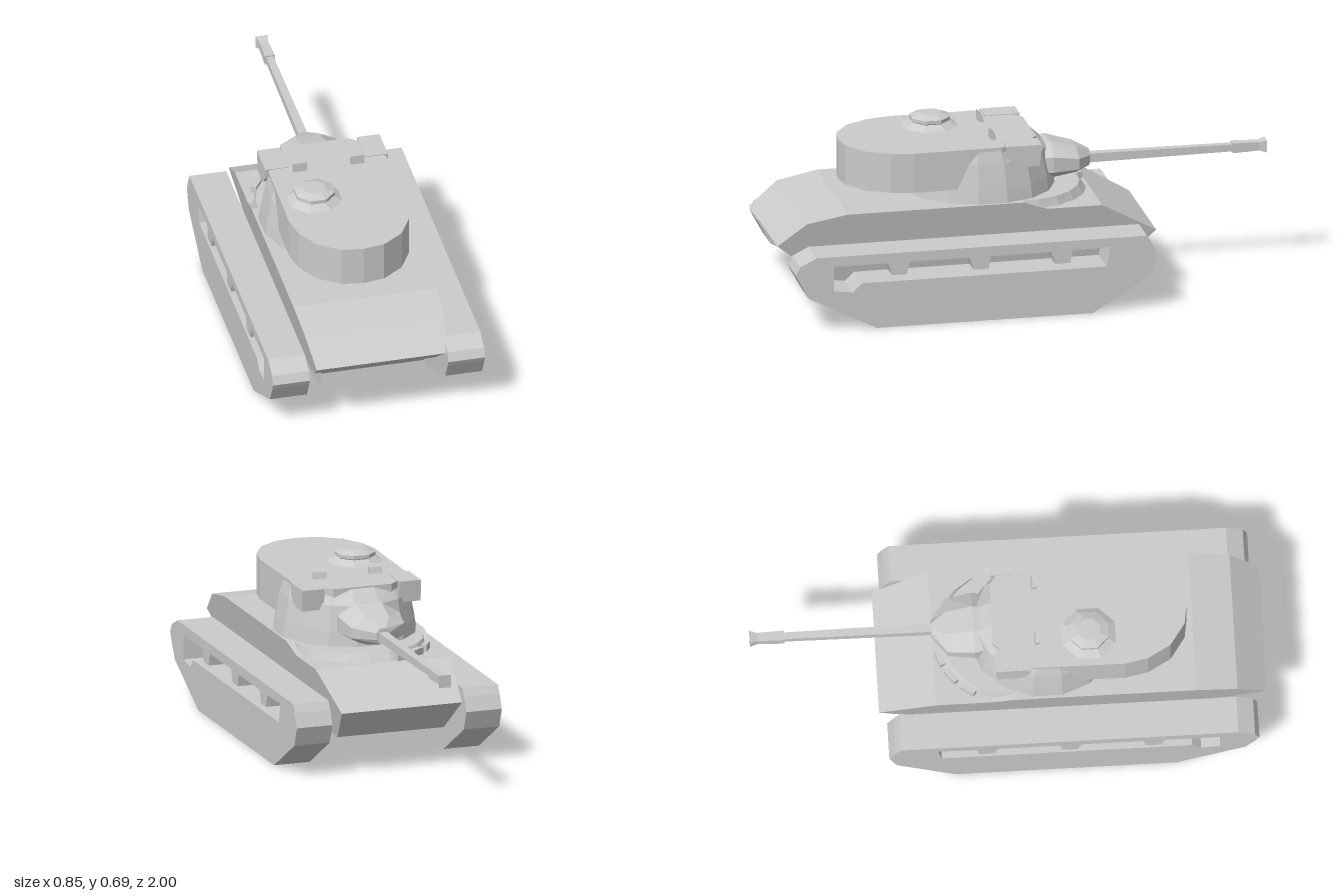
import * as THREE from 'three';

const mat = new THREE.MeshStandardMaterial({ color: 0xcccccc, flatShading: true, side: THREE.DoubleSide });

const toShape = (pts) => new THREE.Shape(pts.map(([a, b]) => new THREE.Vector2(a, b)));

// Side profile given as [z, y], extruded across x and centred on x = 0
function sideExtrude(pts, width, hole) {
  const shape = toShape(pts);
  if (hole) shape.holes.push(toShape(hole));
  const geo = new THREE.ExtrudeGeometry(shape, { depth: width, bevelEnabled: false });
  return geo.translate(0, 0, -width / 2).rotateY(-Math.PI / 2);
}

// Rings stacked from top to bottom: [y, radiusX, radiusZ, centreZ]
function loft(rows, sides) {
  const n = rows.length - 1;
  const geo = new THREE.CylinderGeometry(1, 1, 1, sides, n, false, Math.PI / sides);
  const p = geo.attributes.position;
  const grow = 1 / Math.cos(Math.PI / sides);
  for (let i = 0; i < p.count; i++) {
    const [y, rx, rz, cz] = rows[Math.round((0.5 - p.getY(i)) * n)];
    p.setXYZ(i, p.getX(i) * rx * grow, y, p.getZ(i) * rz * grow + cz);
  }
  return geo;
}

export function createModel() {
  const model = new THREE.Group();
  const add = (name, geo, x = 0, y = 0, z = 0) => {
    const mesh = new THREE.Mesh(geo, mat);
    mesh.name = name;
    mesh.position.set(x, y, z);
    model.add(mesh);
    return mesh;
  };
  const box = (name, w, h, d, x, y, z) => add(name, new THREE.BoxGeometry(w, h, d), x, y, z);

  // Hull: side profile whose width grows with height
  const hull = sideExtrude([
    [1, 0.305], [0.885, 0.395], [0.725, 0.425], [0.02, 0.425], [-0.07, 0.39], [-0.29, 0.39],
    [-0.51, 0.265], [-0.38, 0.135], [0.78, 0.135], [0.9, 0.225],
  ], 2);
  const hp = hull.attributes.position;
  for (let i = 0; i < hp.count; i++) {
    hp.setX(i, Math.sign(hp.getX(i)) * (0.22 + 0.224 * (hp.getY(i) - 0.135)));
  }
  add('hull', hull);

  // Raised collar under the turret, with vision blocks along its front
  add('turretCollar', loft([[0.424, 0.255, 0.25, 0], [0.385, 0.265, 0.28, 0]], 20));
  for (const angle of [0.98, 0.66, 0.34]) {
    const block = box('visionBlock', 0.06, 0.03, 0.022, -0.27 * Math.sin(angle), 0.402, -0.01 - 0.27 * Math.cos(angle));
    block.rotation.y = angle;
  }

  // Tracks with a side opening and return-roller brackets hanging into it
  const trackProfile = [
    [0.88, 0.302], [0.945, 0.27], [0.962, 0.235], [0.95, 0.21], [0.91, 0.137], [0.64, 0], [-0.22, 0],
    [-0.45, 0.137], [-0.48, 0.215], [-0.455, 0.27], [-0.435, 0.302],
  ];
  const opening = [[0.81, 0.262]];
  for (const z of [0.55, 0.225, -0.1]) {
    opening.push([z + 0.045, 0.262], [z + 0.03, 0.212], [z - 0.03, 0.212], [z - 0.04, 0.262]);
  }
  opening.push([-0.29, 0.266], [-0.275, 0.187], [0.7, 0.187], [0.735, 0.152], [0.81, 0.162]);
  for (const side of [-1, 1]) {
    add('track', sideExtrude(trackProfile, 0.147, opening), side * 0.3505);
    box('rearBracket', 0.02, 0.06, 0.08, side * 0.22, 0.195, 0.84);
  }

  // Turret: wide cast base and a straight-walled upper body with rounded rear
  add('turretBase', loft([
    [0.638, 0.232, 0.205, 0.15], [0.58, 0.248, 0.265, 0.148], [0.48, 0.266, 0.285, 0.145], [0.42, 0.275, 0.293, 0.145],
  ], 16));
  const half = [
    [0.12, -0.06], [0.19, 0], [0.235, 0.1], [0.238, 0.45], [0.22, 0.54], [0.17, 0.63], [0.085, 0.69],
  ];
  const outline = [...half, [0, 0.703], ...half.map(([x, z]) => [-x, z]).reverse()];
  const upper = new THREE.ExtrudeGeometry(toShape(outline), { depth: 0.16, bevelEnabled: false });
  add('turretUpper', upper.rotateX(Math.PI / 2), 0, 0.64);

  // Sight housings at the front corners and periscopes on the roof
  const housing = [
    [0.085, 0.643], [0.08, 0.6], [0.055, 0.57], [0.02, 0.558], [-0.048, 0.558], [-0.055, 0.643],
  ];
  const periscope = [[0.122, 0.635], [0.122, 0.678], [0.108, 0.665], [0.1, 0.635]];
  for (const side of [-1, 1]) {
    add('sightHousing', sideExtrude(housing, 0.09), side * 0.2);
    add('periscope', sideExtrude(periscope, 0.053), side * 0.115);
  }

  // Commander's cupola
  add('cupola', loft([
    [0.69, 0.042, 0.042, 0], [0.678, 0.075, 0.075, 0], [0.664, 0.075, 0.075, 0], [0.66, 0.07, 0.07, 0], [0.636, 0.11, 0.11, 0],
  ], 8), -0.105, 0, 0.315);

  // Mantlet: rings run from its nose back into the turret
  const mantlet = loft([
    [0.295, 0.028, 0.032, 0.5], [0.235, 0.11, 0.052, 0.507], [0.13, 0.125, 0.075, 0.515], [0.06, 0.11, 0.07, 0.515],
  ], 8);
  add('mantlet', mantlet.rotateX(-Math.PI / 2));

  // Gun barrel with muzzle brake
  const taper = (name, front, back, zFront, zBack) => {
    const geo = loft([[-zFront, front, front, 0], [-zBack, back, back, 0]], 4);
    add(name, geo.rotateX(-Math.PI / 2), 0, 0.498);
  };
  taper('barrel', 0.014, 0.018, -0.87, -0.28);
  taper('muzzleBrake', 0.017, 0.02, -0.975, -0.865);
  taper('muzzleFlare', 0.025, 0.017, -1, -0.97);

  return model;
}
